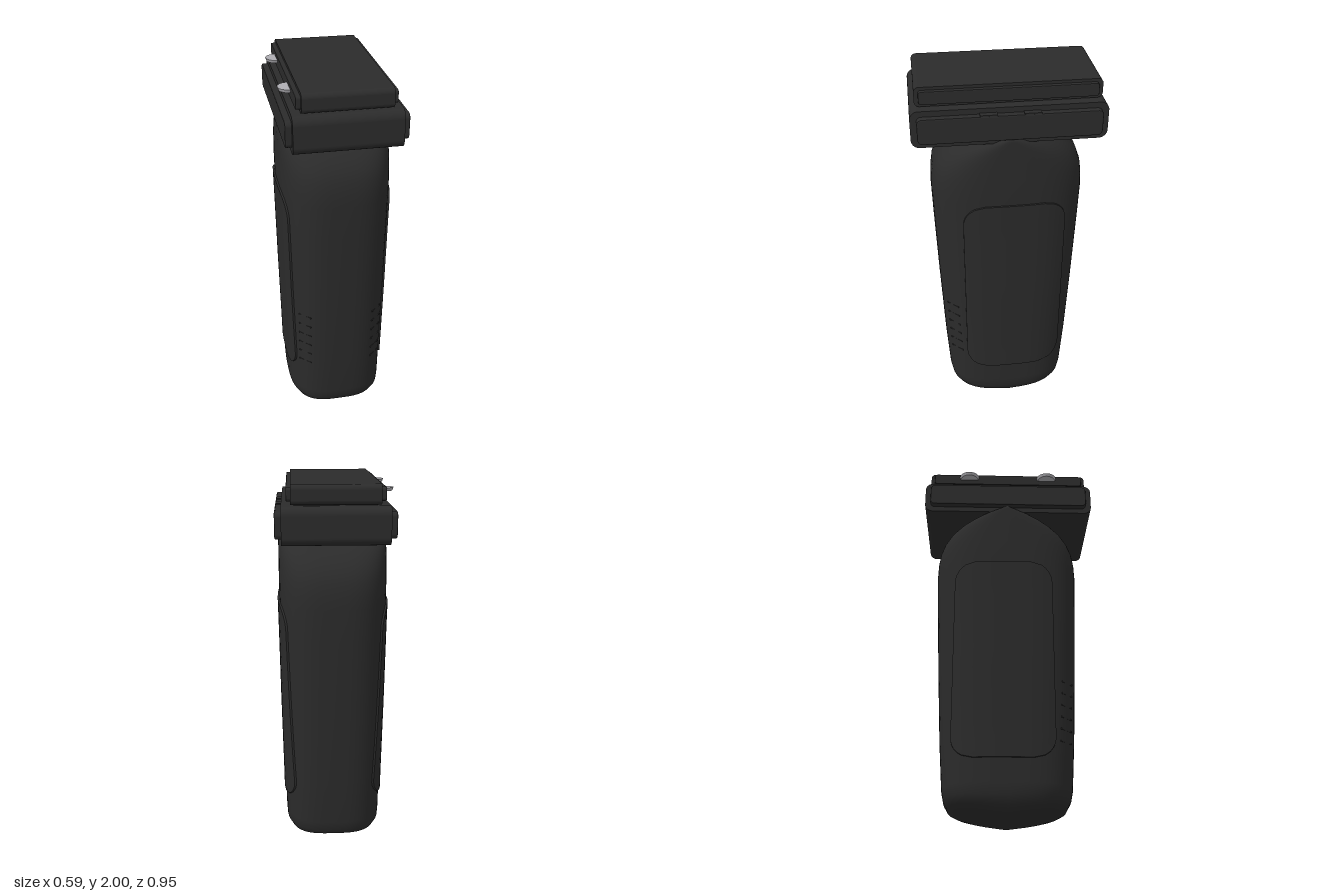
import * as THREE from 'three';
import { toCreasedNormals } from 'three/addons/utils/BufferGeometryUtils.js';

const dark = new THREE.MeshStandardMaterial({ color: 0x2b2b2b });
dark.name = 'charcoal plastic';
const metal = new THREE.MeshStandardMaterial({ color: 0xaeadb2 });
metal.name = 'grey metal';

// Grip sections, bottom to top: [y, half width x, half depth z, rise per unit of |z|]
const SECTIONS = [
  [0.0, 0.15, 0.22, 0.12], [0.012, 0.2, 0.27, 0.12], [0.04, 0.24, 0.305, 0.08],
  [0.09, 0.262, 0.325, 0.03], [0.15, 0.265, 0.335, 0], [0.4, 0.268, 0.352, 0],
  [0.8, 0.275, 0.371, 0], [1.2, 0.28, 0.387, 0], [1.38, 0.283, 0.393, 0],
  [1.45, 0.284, 0.39, 0], [1.51, 0.284, 0.381, 0], [1.56, 0.284, 0.363, 0],
  [1.61, 0.284, 0.33, 0], [1.65, 0.284, 0.285, 0], [1.68, 0.284, 0.235, 0],
  [1.705, 0.284, 0.175, 0], [1.725, 0.284, 0.1, 0], [1.74, 0.283, 0.03, 0],
];
const POWER = 3.1; // squareness of the grip sections
const lean = (y) => -0.004 * y; // small backward shift of the grip

// Half width and half depth of the grip at height y
function sizeAt(y) {
  const i = SECTIONS.findIndex((s) => s[0] > y), a = SECTIONS[i - 1], b = SECTIONS[i];
  const t = (y - a[0]) / (b[0] - a[0]);
  return [a[1] + (b[1] - a[1]) * t, a[2] + (b[2] - a[2]) * t];
}
// Other coordinate of a superellipse with half axes a (given) and b (wanted)
const onCurve = (u, a, b) => b * Math.pow(1 - Math.pow(Math.abs(u) / a, POWER), 1 / POWER);

function gripGeometry() {
  const pos = [], idx = [], n = 64;
  const bend = (c) => Math.sign(c) * Math.pow(Math.abs(c), 2 / POWER);
  for (const [y, hx, hz, rise] of SECTIONS) {
    for (let j = 0; j < n; j++) {
      const a = (j / n) * Math.PI * 2, z = hz * bend(Math.sin(a));
      pos.push(hx * bend(Math.cos(a)), y + Math.abs(z) * rise, z + lean(y));
    }
  }
  const last = (SECTIONS.length - 1) * n, bottom = SECTIONS.length * n, top = bottom + 1;
  pos.push(0, 0, 0, 0, 1.74, lean(1.74));
  for (let j = 0; j < n; j++) {
    const k = (j + 1) % n;
    for (let r = 0; r < last; r += n) {
      idx.push(r + j, r + n + j, r + k, r + k, r + n + j, r + n + k);
    }
    idx.push(bottom, j, k, top, last + k, last + j);
  }
  const g = new THREE.BufferGeometry();
  g.setAttribute('position', new THREE.Float32BufferAttribute(pos, 3));
  g.setIndex(idx);
  g.computeVertexNormals();
  return g;
}

// Raised side panel: a grid with rounded corners wrapped over the grip, its outer loop sunk as a rim
function panelGeometry(side) {
  const cols = 18, rows = 40, y0 = 0.27, y1 = 1.37, half = 0.265, r = 0.115;
  const g = new THREE.PlaneGeometry(1, 1, cols, rows), p = g.attributes.position;
  for (let i = 0; i < p.count; i++) {
    const col = i % (cols + 1), row = Math.floor(i / (cols + 1));
    const rim = col === 0 || col === cols || row === 0 || row === rows;
    const u = THREE.MathUtils.clamp((col - 1) / (cols - 2), 0, 1) * 2 - 1;
    const v = THREE.MathUtils.clamp((row - 1) / (rows - 2), 0, 1);
    // rows bunch up at both ends to follow the corner arcs
    const y = y1 + (y0 - y1) * (v + (1 - Math.cos(v * Math.PI)) / 2) / 2;
    const inCorner = Math.max(0, r - Math.min(y - y0, y1 - y));
    const width = half - r + Math.sqrt(Math.max(0, r * r - inCorner * inCorner));
    const z = -0.025 - side * u * width;
    const [hx, hz] = sizeAt(y);
    p.setXYZ(i, side * (onCurve(z - lean(y), hz, hx) + (rim ? -0.012 : 0.01)), y, z);
  }
  return toCreasedNormals(g, 0.6);
}

// Rounded outline in the side plane (horizontal axis is -z)
function roundedRect(z0, z1, y0, y1, r) {
  const s = new THREE.Shape(), a = -z1, b = -z0;
  s.moveTo(a + r, y0);
  s.lineTo(b - r, y0);
  s.absarc(b - r, y0 + r, r, -Math.PI / 2, 0);
  s.absarc(b - r, y1 - r, r, 0, Math.PI / 2);
  s.absarc(a + r, y1 - r, r, Math.PI / 2, Math.PI);
  s.absarc(a + r, y0 + r, r, Math.PI, Math.PI * 1.5);
  return s;
}

// Slab running along x from x0 to x1, with an optional bevel kept inside the outline
function slab(shape, x0, x1, bevel = 0) {
  const g = new THREE.ExtrudeGeometry(shape, {
    depth: x1 - x0 - 2 * bevel, bevelEnabled: bevel > 0, bevelThickness: bevel,
    bevelSize: bevel, bevelOffset: -bevel, bevelSegments: 2, curveSegments: 8,
  });
  return g.rotateY(Math.PI / 2).translate(x0 + bevel, 0, 0);
}

export function createModel() {
  const model = new THREE.Group();
  const add = (name, geometry, material = dark) => {
    const mesh = new THREE.Mesh(geometry, material);
    mesh.name = name;
    model.add(mesh);
    return mesh;
  };

  // Grip body and side panels
  add('grip', gripGeometry());
  add('leftPanel', panelGeometry(1));
  add('rightPanel', panelGeometry(-1));

  // Thin finger ribs on the lower front corners
  for (let i = 0; i < 6; i++) {
    const y = 0.37 + i * 0.064, [hx, hz] = sizeAt(y);
    for (const side of [1, -1]) {
      const rib = add('fingerRib', new THREE.BoxGeometry(0.08, 0.008, 0.02));
      rib.position.set(side * 0.193, y, onCurve(0.2, hx, hz) + lean(y) - 0.007);
      rib.rotation.y = side * Math.PI / 4;
    }
  }

  // Lower head block and its side plates
  add('headBlock', slab(roundedRect(-0.474, 0.474, 1.713, 1.9, 0.042), -0.262, 0.262));
  add('headRightPlate', slab(roundedRect(-0.443, 0.443, 1.742, 1.872, 0.025), -0.294, -0.25, 0.006));
  add('headLeftPlate', slab(roundedRect(-0.443, 0.443, 1.742, 1.872, 0.025), 0.25, 0.294, 0.006));
  for (const z of [-0.105, 0.105]) {
    const bump = add('plateBump', new THREE.BoxGeometry(0.04, 0.012, 0.083));
    bump.position.set(0.272, 1.871, z);
  }

  // Spacer and upper plate
  add('spacer', new THREE.BoxGeometry(0.4, 0.04, 0.82)).position.y = 1.9;
  add('topPlate', slab(roundedRect(-0.448, 0.447, 1.904, 2, 0.025), -0.216, 0.216));
  add('topPlateEdge', slab(roundedRect(-0.427, 0.427, 1.92, 1.985, 0.015), -0.24, 0.237, 0.004));

  // Metal half-round tabs on the right edge
  for (const z of [-0.225, 0.223]) {
    const tab = add('releaseTab', new THREE.CylinderGeometry(0.056, 0.05, 0.016, 24), metal);
    tab.position.set(-0.239, 1.957, z);
  }
  return model;
}
